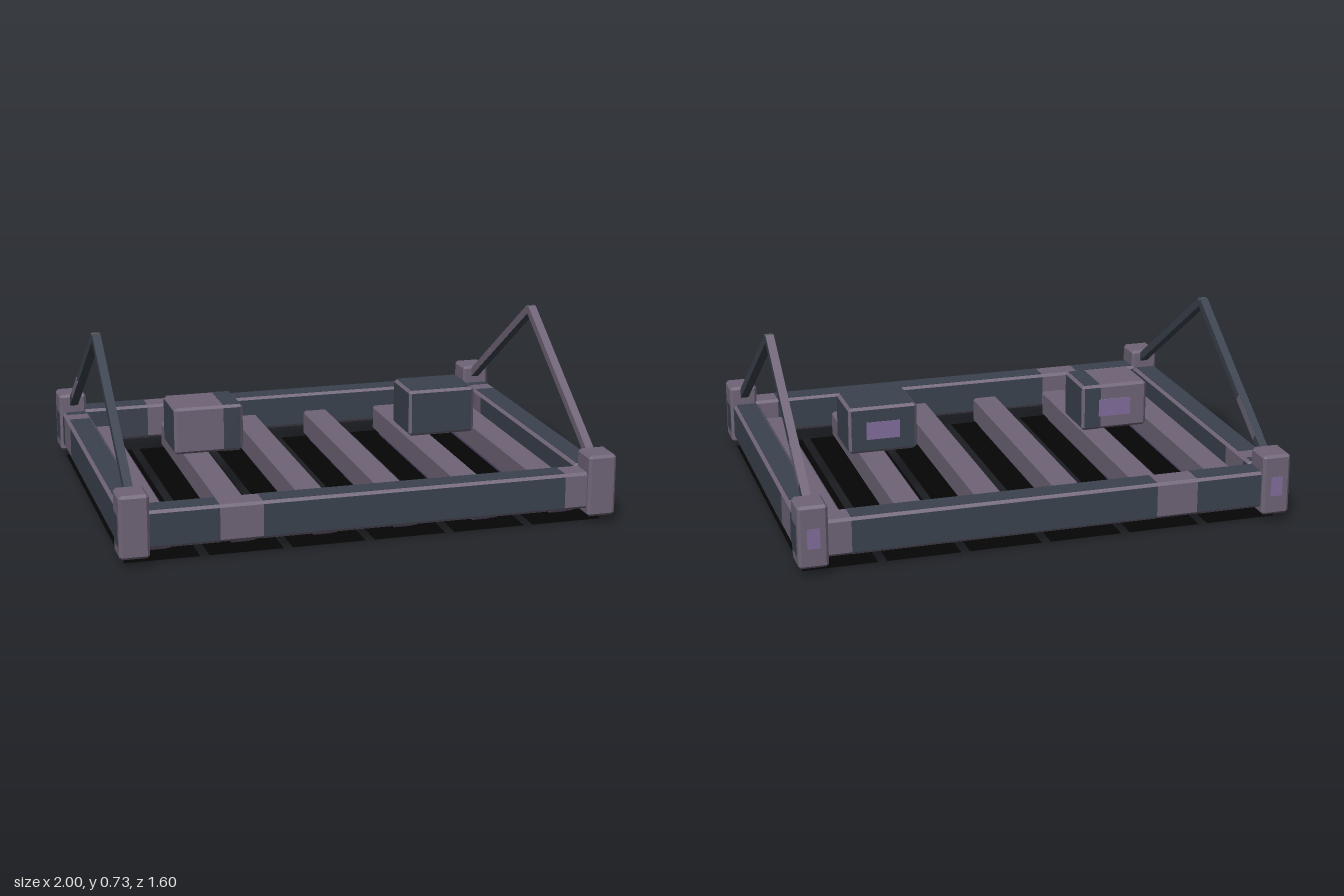
import * as THREE from 'three';
import { ConvexGeometry } from 'three/addons/geometries/ConvexGeometry.js';

const paint = (name, color, side = THREE.FrontSide) => {
  const m = new THREE.MeshStandardMaterial({ color, side });
  m.name = name;
  return m;
};

export function createModel() {
  const mauve = paint('mauve metal', 0x6f6477);
  const slate = paint('slate metal', 0x3b424e);
  const violet = paint('violet panel', 0x806c9a);
  const lamp = paint('lamp violet', 0x584870);
  const black = paint('black sheet', 0x050505, THREE.DoubleSide);
  const glow = paint('dim violet', 0x1e0a2a);

  const model = new THREE.Group();
  model.name = 'liftPlatform';

  const add = (name, geometry, material, x, y, z) => {
    const mesh = new THREE.Mesh(geometry, material);
    mesh.name = name;
    mesh.position.set(x, y, z);
    model.add(mesh);
    return mesh;
  };
  const box = (name, mat, w, h, d, x, y, z) => add(name, new THREE.BoxGeometry(w, h, d), mat, x, y, z);

  // Box with chamfered edges
  const chamfered = (name, mat, w, h, d, x, y, z, b = 0.011) => {
    const points = [];
    for (const sx of [-1, 1]) for (const sy of [-1, 1]) for (const sz of [-1, 1])
      for (let flat = 0; flat < 3; flat++) {
        const inset = [b, b, b];
        inset[flat] = 0;
        points.push(new THREE.Vector3(sx * (w / 2 - inset[0]), sy * (h / 2 - inset[1]), sz * (d / 2 - inset[2])));
      }
    return add(name, new ConvexGeometry(points), mat, x, y, z);
  };

  const e = 0.003; // plate relief
  const railY = 0.144, railH = 0.15, railW = 0.11;

  // Front and back rails with slate plates on all four faces
  for (const s of [-1, 1]) {
    const z = s * 0.725;
    chamfered('crossRail', mauve, 1.8, railH, railW, 0, railY, z);
    for (const [a, b] of [[-0.885, -0.61], [-0.44, 0.79]]) {
      box('crossRailSidePlate', slate, b - a, railH - 0.022, railW + e, (a + b) / 2, railY, z);
      box('crossRailTopPlate', slate, b - a, railH + e, railW - 0.024, (a + b) / 2, railY, z);
    }
  }

  // Side rails
  for (const s of [-1, 1]) {
    const x = s * 0.935;
    chamfered('sideRail', mauve, railW, railH, 1.32, x, railY, 0);
    for (const [a, b] of [[-0.648, -0.61], [-0.43, 0.648]])
      box('sideRailSidePlate', slate, railW + e, railH - 0.022, b - a, x, railY, (a + b) / 2);
    for (const [a, b] of [[-0.648, -0.61], [-0.53, 0.648]])
      box('sideRailTopPlate', slate, railW - 0.024, railH + e, b - a, x, railY, (a + b) / 2);
  }

  // Corner posts with a slate side plate and a violet back panel
  for (const sx of [-1, 1]) for (const sz of [-1, 1]) {
    const x = sx * 0.941;
    chamfered('cornerPost', mauve, 0.117, 0.252, 0.128, x, 0.165, sz * 0.736);
    box('postSidePlate', slate, 0.117 + e, 0.12, 0.08, x, 0.145, sz * 0.725);
    if (sz < 0) box('postBackPanel', violet, 0.05, 0.08, 0.008, x, 0.16, -0.798);
  }

  // Floor slats, lamp strips and the dark sheet under each
  for (let i = 0; i < 6; i++) {
    const x = -0.825 + i * 0.33;
    chamfered('floorSlat', mauve, 0.11, 0.112, 1.35, x, 0.083, 0, 0.009);
    chamfered('lampStrip', lamp, 0.08, 0.024, 1.26, x, 0.021, 0, 0.005);
    add('lampSheet', new THREE.PlaneGeometry(0.294, 1.45), black, x, 0.003, 0).rotation.x = -Math.PI / 2;
    const spot = add('lampGlow', new THREE.CircleGeometry(1, 32), glow, x, 0, 0);
    spot.rotation.x = Math.PI / 2;
    spot.scale.set(0.075, 0.58, 1);
  }

  // Equipment boxes above the floor
  for (const s of [-1, 1]) {
    const x = s * 0.502, y = 0.318, w = 0.286, h = 0.195, d = 0.224;
    chamfered('equipmentBox', mauve, w, h, d, x, y, 0);
    const [a, b] = s < 0 ? [-0.44, -0.37] : [0.37, 0.634];
    box('boxFacePlate', slate, b - a, h - 0.022, d + e, (a + b) / 2, y, 0);
    box('boxTopPlate', slate, b - a, h + e, d - 0.022, (a + b) / 2, y, 0);
    box('boxSidePlate', slate, w + e, h - 0.022, d - 0.022, x, y, 0);
    box('boxBackPanel', violet, 0.14, 0.074, 0.008, x, 0.315, -0.112);
  }

  // Slanted hanger rods meeting in a peak on each side
  const apex = 0.712, foot = 0.235, reach = 0.715, thick = 0.034;
  const length = Math.hypot(reach, apex - foot);
  const tilt = Math.atan2(apex - foot, reach);
  for (const sx of [-1, 1]) for (const sz of [-1, 1]) {
    // Box faces in order: +x, -x, +y, -y, +z, -z
    const mats = sx > 0 ? [slate, mauve, mauve, slate, slate, slate] : slate;
    const rod = box('hangerRod', mats, thick, thick, length, sx * 0.937, (apex + foot) / 2, sz * reach / 2);
    rod.rotation.x = sz * tilt;
    if (sz < 0) {
      const bandY = apex - 0.525 * (apex - foot) / reach;
      const band = box('rodBand', mauve, thick + 0.002, thick - 0.002, 0.21, sx * 0.937, bandY, -0.525);
      band.rotation.x = -tilt;
    }
  }

  return model;
}
